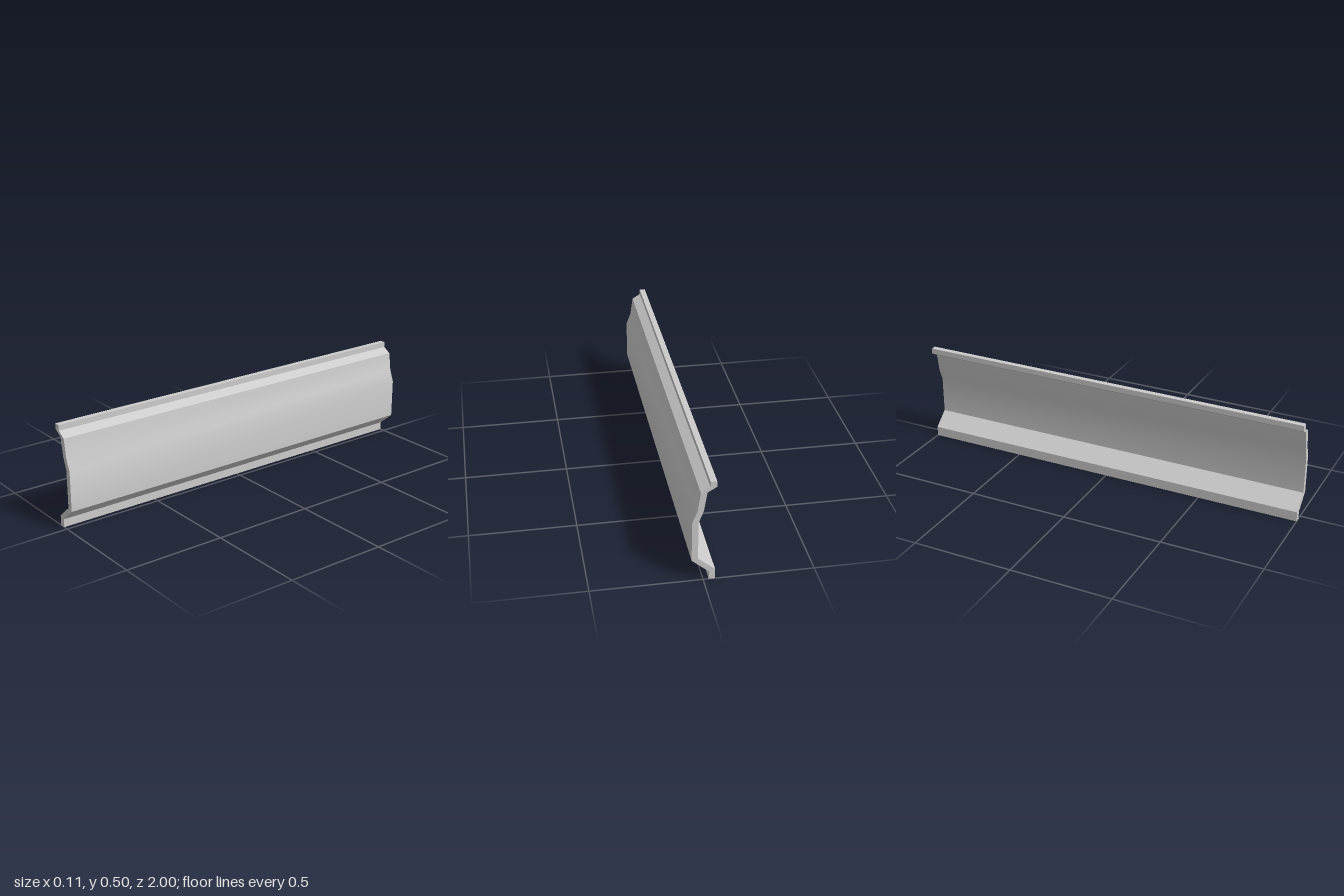
import * as THREE from 'three';
import { toCreasedNormals } from 'three/addons/utils/BufferGeometryUtils.js';

export function createModel() {
  const group = new THREE.Group();
  group.name = 'moulding';

  // Cross-section, counter-clockwise: outer face upwards, then inner face downwards
  const outer = [
    [-0.025, 0], [-0.025, 0.04], [0.052, 0.106], [0.052, 0.3],
    [0.029, 0.36], [0.016, 0.45], [-0.025, 0.475], [-0.025, 0.502],
  ];
  const inner = [
    [-0.053, 0.502], [-0.053, 0.475], [-0.012, 0.45], [0.002, 0.36],
    [0.024, 0.3], [0.024, 0.115], [-0.053, 0.049], [-0.053, 0],
  ];
  const profile = new THREE.Shape([...outer, ...inner].map(([x, y]) => new THREE.Vector2(x, y)));

  // One straight run along z, gentle bends smooth and strong bends sharp
  const length = 2;
  const geometry = new THREE.ExtrudeGeometry(profile, { depth: length, bevelEnabled: false });
  geometry.translate(0, 0, -length / 2);

  const strip = new THREE.Mesh(
    toCreasedNormals(geometry, THREE.MathUtils.degToRad(30)),
    new THREE.MeshStandardMaterial({ color: 0xcccccc }),
  );
  strip.name = 'profiledStrip';
  group.add(strip);
  return group;
}
